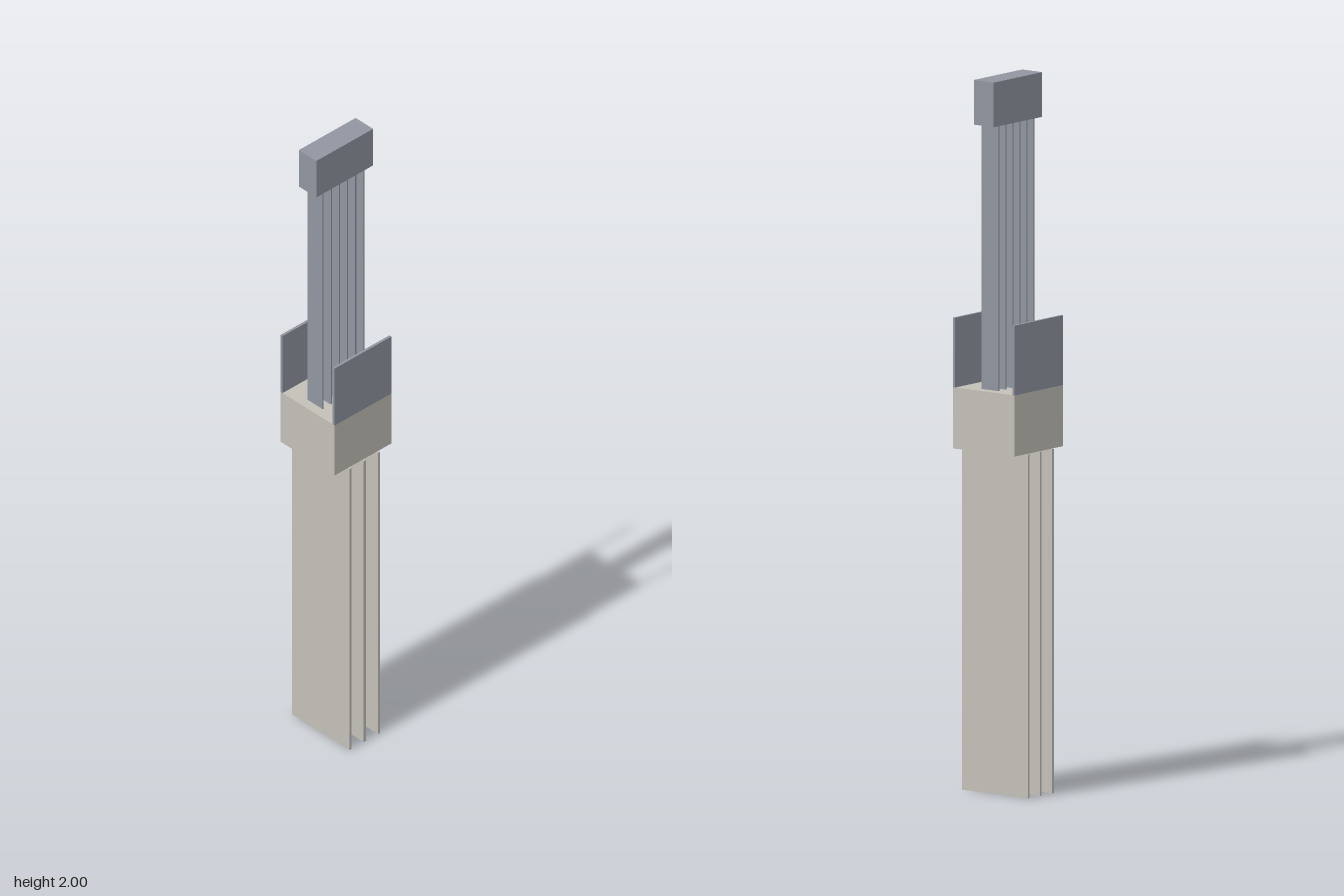
import * as THREE from 'three';

export function createModel() {
  const model = new THREE.Group();
  const steel = new THREE.MeshStandardMaterial({ color: 0x9096a0 });
  steel.name = 'blue grey steel';
  const stone = new THREE.MeshStandardMaterial({ color: 0xc4c0b8 });
  stone.name = 'warm pale grey';

  // Box standing between two heights
  function slab(name, material, width, depth, bottom, top, x = 0, z = 0) {
    const mesh = new THREE.Mesh(new THREE.BoxGeometry(width, top - bottom, depth), material);
    mesh.name = name;
    mesh.position.set(x, (bottom + top) / 2, z);
    model.add(mesh);
  }

  // Central block and the cap on top
  slab('block', stone, 0.216, 0.216, 0.962, 1.133);
  slab('cap', steel, 0.216, 0.07, 1.875, 2);

  // Upright plates on the front and back edges of the block
  for (const side of [1, -1]) {
    slab(side > 0 ? 'frontPlate' : 'backPlate', steel, 0.216, 0.008, 1.133, 1.328, 0, side * 0.104);
  }

  // Six thin blades joining block and cap
  for (let i = 0; i < 6; i++) {
    slab('upperBlade' + (i + 1), steel, 0.004, 0.06, 1.133, 1.875, (i - 2.5) * 0.031);
  }

  // Three wide blades carrying the block
  for (let i = -1; i <= 1; i++) {
    slab('lowerBlade' + (i + 2), stone, 0.008, 0.23, 0, 0.962, i * 0.054);
  }

  return model;
}
